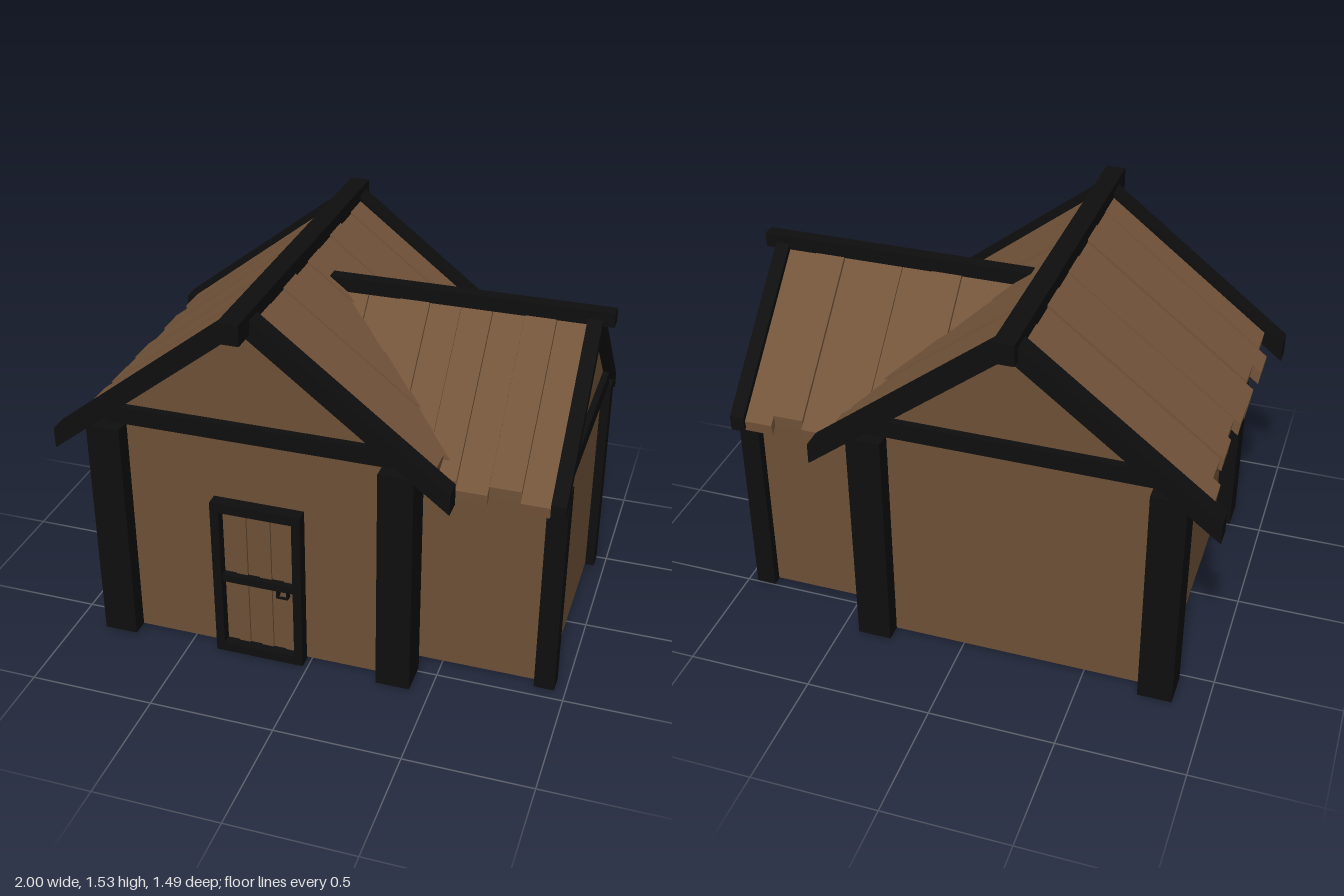
import * as THREE from 'three';

const wood = new THREE.MeshStandardMaterial({ color: 0x6b4f36, flatShading: true });
const plankWood = new THREE.MeshStandardMaterial({ color: 0x73543a, flatShading: true });
const beamWood = new THREE.MeshStandardMaterial({ color: 0x0e0e0e, flatShading: true });

// Box given by its min and max on each axis
function box(parent, name, mat, x0, x1, y0, y1, z0, z1) {
  const mesh = new THREE.Mesh(new THREE.BoxGeometry(x1 - x0, y1 - y0, z1 - z0), mat);
  mesh.position.set((x0 + x1) / 2, (y0 + y1) / 2, (z0 + z1) / 2);
  mesh.name = name;
  parent.add(mesh);
  return mesh;
}

// Outline in x/y extruded from z0 to z1
function prism(parent, name, mat, points, z0, z1) {
  const shape = new THREE.Shape(points.map(([x, y]) => new THREE.Vector2(x, y)));
  const geo = new THREE.ExtrudeGeometry(shape, { depth: z1 - z0, bevelEnabled: false });
  const mesh = new THREE.Mesh(geo, mat);
  mesh.position.z = z0;
  mesh.name = name;
  parent.add(mesh);
  return mesh;
}

// Solid walls with a gable at both ends
function walls(parent, name, half, peak, slope, z0, z1) {
  const eave = peak - half * slope;
  prism(parent, name, wood, [[-half, 0.01], [half, 0.01], [half, eave], [0, peak], [-half, eave]], z0, z1);
}

// Pair of rafters meeting at the peak, ends cut upright
function rafters(parent, name, half, peak, slope, thick, z0, z1) {
  const y = peak - half * slope;
  prism(parent, name, beamWood, [
    [0, peak], [-half, y], [-half, y - thick], [0, peak - thick], [half, y - thick], [half, y],
  ], z0, z1);
}

// Row of roof boards on both slopes with uneven eave ends and heights
function planks(parent, name, lengths, peak, slope, thick, z0, width) {
  lengths.forEach((len, i) => {
    const p = peak + [0, -0.008, 0.004, -0.004][i % 4];
    const a = z0 + i * width;
    for (const s of [-1, 1]) {
      const end = p - len * slope;
      const pts = [[0, p], [s * len, end], [s * len * 0.99, end - thick], [0, p - thick]];
      prism(parent, name, plankWood, s < 0 ? pts : pts.reverse(), a + 0.001, a + width - 0.001);
    }
  });
}

function mainHouse() {
  const house = new THREE.Group();
  house.name = 'mainHouse';
  house.position.x = -0.22;
  walls(house, 'mainWalls', 0.58, 1.45, 0.775, -0.6, 0.56);
  for (const [z0, z1, tie] of [[0.56, 0.64, 0.56], [-0.71, -0.63, -0.6]]) {
    rafters(house, 'mainRafters', 0.78, 1.535, 0.775, 0.085, z0, z1);
    box(house, 'mainTieBeam', beamWood, -0.58, 0.58, 0.97, 1.04, tie - 0.03, tie + 0.03);
  }
  // Corner posts
  for (const x of [-0.58, 0.575]) {
    for (const z of [0.56, -0.6]) {
      box(house, 'mainPost', beamWood, x - 0.068, x + 0.068, 0.01, 0.96, z - 0.069, z + 0.069);
    }
  }
  planks(house, 'mainRoofPlank', [0.73, 0.7, 0.715, 0.7, 0.727, 0.728, 0.7, 0.735, 0.7],
    1.51, 0.775, 0.055, -0.632, 0.1327);
  box(house, 'mainRidgeBeam', beamWood, -0.04, 0.04, 1.45, 1.532, -0.75, 0.74);
  return house;
}

function sideWing() {
  // Built along z, then turned so its gable faces +x
  const wing = new THREE.Group();
  wing.name = 'sideWing';
  wing.position.z = -0.022;
  wing.rotation.y = Math.PI / 2;
  walls(wing, 'wingWalls', 0.44, 1.345, 0.98, 0.1, 0.92);
  rafters(wing, 'wingRafters', 0.54, 1.41, 0.98, 0.062, 0.9, 0.957);
  box(wing, 'wingTieBeam', beamWood, -0.42, 0.42, 0.89, 0.957, 0.895, 0.945);
  for (const x of [-0.44, 0.44]) {
    box(wing, 'wingPost', beamWood, x - 0.038, x + 0.038, 0.005, 0.89, 0.877, 0.957);
  }
  planks(wing, 'wingRoofPlank', [0.5, 0.5, 0.5, 0.5, 0.502, 0.522, 0.505, 0.53],
    1.385, 0.98, 0.045, -0.065, 0.1217);
  box(wing, 'wingRidgeBeam', beamWood, -0.027, 0.027, 1.36, 1.417, -0.12, 1.0);
  return wing;
}

function frontDoor() {
  const door = new THREE.Group();
  door.name = 'frontDoor';
  const [l, r, top, w] = [-0.385, -0.02, 0.698, 0.035];
  // Vertical boards of alternating depth
  const count = 6, step = (r - l - 2 * w) / count;
  for (let i = 0; i < count; i++) {
    const x = l + w + i * step;
    box(door, 'doorBoard', wood, x + 0.001, x + step - 0.001, 0.02, top - 0.02, 0.54, 0.572 + (i % 2) * 0.005);
  }
  // Frame and middle rail
  for (const x of [l, r - w]) box(door, 'doorJamb', beamWood, x, x + w, 0, top, 0.55, 0.612);
  for (const [y0, y1] of [[0, 0.04], [top - 0.04, top]]) {
    box(door, 'doorFrameRail', beamWood, l + w, r - w, y0, y1, 0.55, 0.612);
  }
  box(door, 'doorMiddleRail', beamWood, l + w, r - w, 0.333, 0.366, 0.55, 0.6);
  // Square ring handle
  const [hx, hy, t] = [-0.102, 0.323, 0.006];
  for (const s of [-1, 1]) {
    const x = hx + s * 0.021, y = hy + s * 0.017;
    box(door, 'doorHandle', beamWood, x - t / 2, x + t / 2, hy - 0.02, hy + 0.02, 0.575, 0.605);
    box(door, 'doorHandle', beamWood, hx - 0.021, hx + 0.021, y - t / 2, y + t / 2, 0.595, 0.605);
  }
  return door;
}

export function createModel() {
  const model = new THREE.Group();
  model.name = 'cottage';
  model.add(mainHouse(), sideWing(), frontDoor());
  return model;
}
